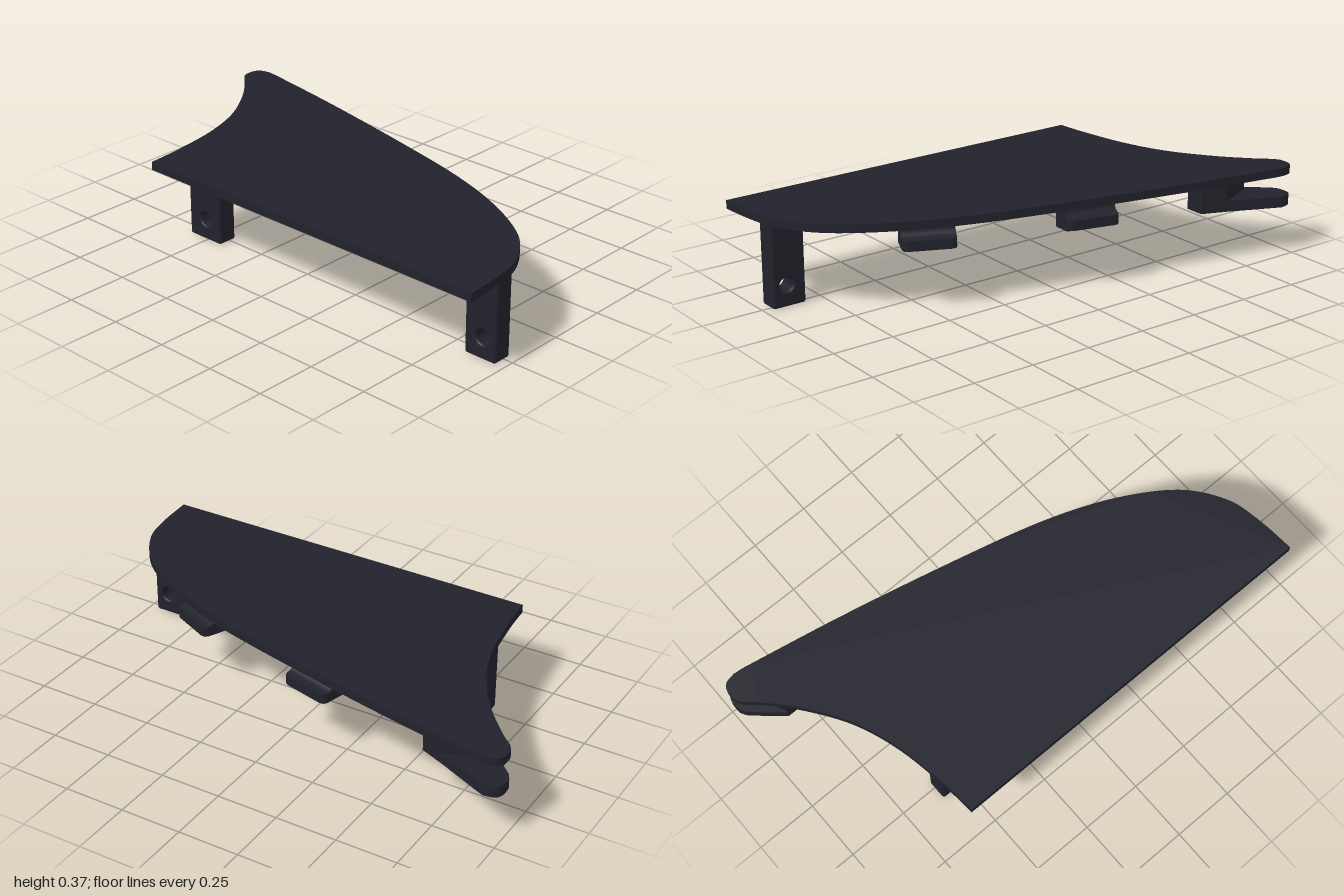
import * as THREE from 'three';

const charcoal = new THREE.MeshStandardMaterial({ color: 0x22222c });
charcoal.name = 'charcoal';

const PLATE_BOTTOM = 0.336, PLATE_TOP = 0.37;

function addMesh(parent, name, geometry) {
  const mesh = new THREE.Mesh(geometry, charcoal);
  mesh.name = name;
  parent.add(mesh);
  return mesh;
}

// Upright slab from a plan outline of [x, z] points, between two heights
function slab(points, y0, y1) {
  const shape = new THREE.Shape(points.map(([x, z]) => new THREE.Vector2(x, -z)));
  return new THREE.ExtrudeGeometry(shape, { depth: y1 - y0, bevelEnabled: false })
    .rotateX(-Math.PI / 2).translate(0, y0, 0);
}

// Smooth run through a few [x, z] points
function smooth(points, divisions) {
  const curve = new THREE.SplineCurve(points.map(p => new THREE.Vector2(...p)));
  return curve.getPoints(divisions).map(p => [p.x, p.y]);
}

// Mounting leg with rounded bottom edges and a bolt hole
function legGeometry(x0, x1, holeX) {
  const bottom = 0.003, r = 0.012, bevel = 0.01, z0 = 0.222, z1 = 0.305;
  const shape = new THREE.Shape();
  shape.moveTo(x0, PLATE_BOTTOM + 0.012);
  shape.lineTo(x0, bottom + r);
  shape.quadraticCurveTo(x0, bottom, x0 + r, bottom);
  shape.lineTo(x1 - r, bottom);
  shape.quadraticCurveTo(x1, bottom, x1, bottom + r);
  shape.lineTo(x1, PLATE_BOTTOM + 0.012);
  const hole = new THREE.Path();
  hole.absarc(holeX, 0.09, 0.029, 0, Math.PI * 2, true);
  shape.holes.push(hole);
  return new THREE.ExtrudeGeometry(shape, {
    depth: z1 - z0 - 2 * bevel, bevelThickness: bevel, bevelSize: bevel,
    bevelOffset: -bevel, bevelSegments: 3, curveSegments: 16,
  }).translate(0, 0, z0 + bevel);
}

// Edge clip: a lip reaching past the plate, and a block with a filleted slot
function makeClip(name, x, z, angle, length, depth) {
  const clip = new THREE.Group();
  clip.name = name;
  const c = 0.02, lipTop = 0.295;
  addMesh(clip, name + 'Lip', slab([
    [0, depth], [0, c], [-0.006, 0.006], [-c, 0],
    [-length + c, 0], [-length + 0.006, 0.006], [-length, c], [-length, depth],
  ], 0.255, lipTop));
  const section = new THREE.Shape();
  section.moveTo(depth, lipTop);
  section.lineTo(depth, PLATE_BOTTOM);
  section.lineTo(0.052, PLATE_BOTTOM);
  section.quadraticCurveTo(0.052, lipTop, 0.014, lipTop);
  addMesh(clip, name + 'Block',
    new THREE.ExtrudeGeometry(section, { depth: length, bevelEnabled: false, curveSegments: 8 })
      .rotateY(-Math.PI / 2));
  clip.position.set(x, 0, z);
  clip.rotation.y = -angle;
  return clip;
}

export function createModel() {
  const model = new THREE.Group();
  model.name = 'bracketPlate';

  // Flat plate: concave left edge, rounded tip, bowed back edge
  const concaveEdge = smooth([[-0.6, 0.488], [-0.613, 0.35], [-0.65, 0.136], [-0.717, -0.05],
    [-0.82, -0.21], [-0.92, -0.325], [-0.985, -0.385]], 36);
  const tip = smooth([[-1, -0.41], [-1, -0.455], [-0.982, -0.482], [-0.94, -0.492]], 10);
  const backEdge = smooth([[-0.9, -0.488], [-0.476, -0.408], [0, -0.302], [0.353, -0.21],
    [0.62, -0.105], [0.834, 0.03], [0.948, 0.18], [0.984, 0.32], [0.998, 0.488]], 56);
  addMesh(model, 'plate', slab([...concaveEdge, ...tip, ...backEdge], PLATE_BOTTOM, PLATE_TOP));

  // Two legs below the straight edge
  addMesh(model, 'rightLeg', legGeometry(-0.595, -0.425, -0.505));
  addMesh(model, 'leftLeg', legGeometry(0.825, 0.965, 0.905));

  // Two clips along the back edge
  model.add(makeClip('middleClip', -0.01, -0.312, 0.245, 0.21, 0.122));
  model.add(makeClip('leftClip', 0.612, -0.118, 0.43, 0.205, 0.11));

  // Hook under the tip: a solid block with a prong running out below it
  addMesh(model, 'hookBlock', slab([[-0.63, -0.28], [-0.865, -0.28], [-0.885, -0.33],
    [-0.73, -0.4], [-0.63, -0.36]], 0.249, PLATE_BOTTOM));
  addMesh(model, 'hookProng', slab([[-0.63, -0.28], [-0.865, -0.28], [-0.92, -0.325],
    [-0.985, -0.385], ...tip, [-0.9, -0.475], [-0.73, -0.4], [-0.63, -0.36]], 0.205, 0.249));

  return model;
}
